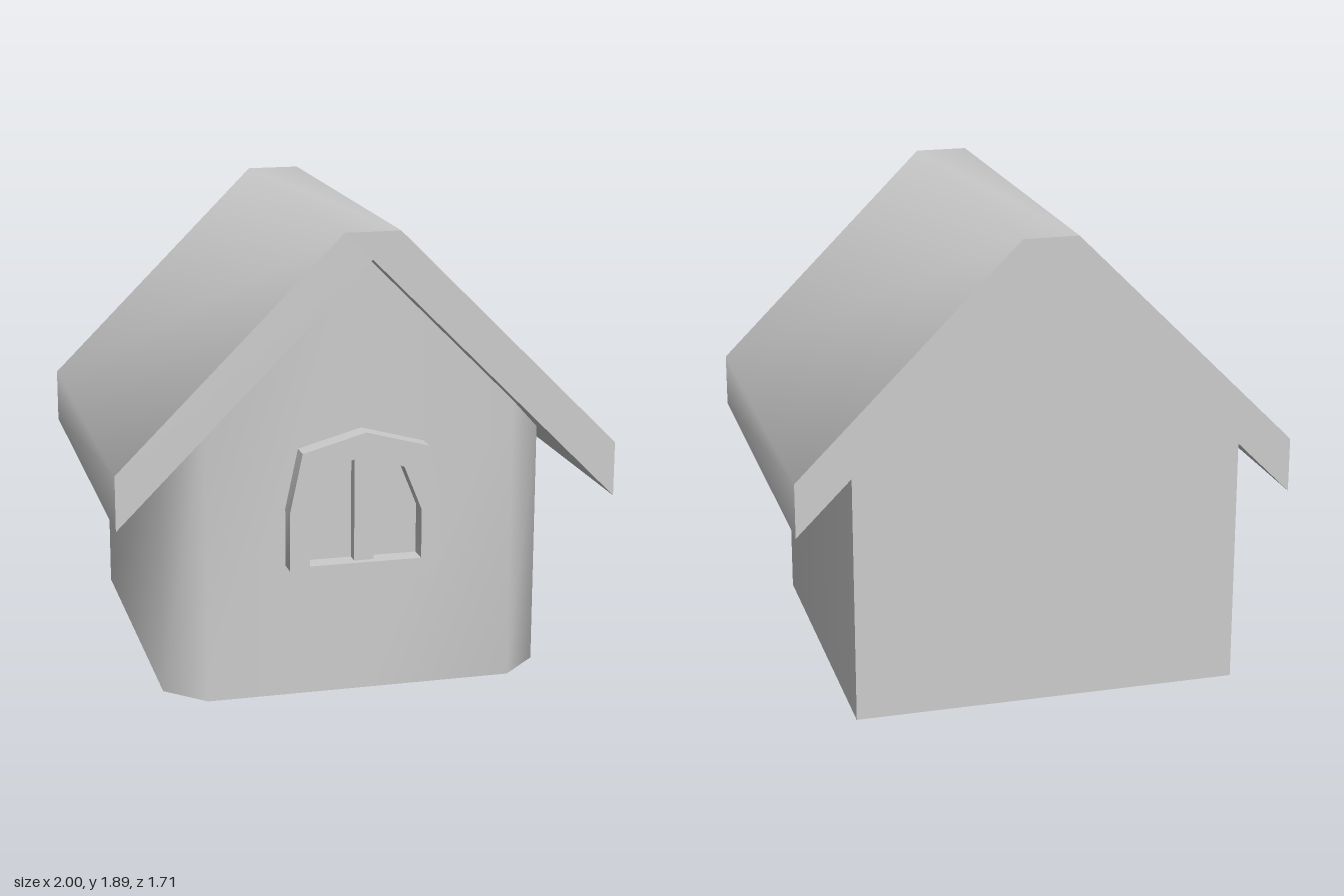
import * as THREE from 'three';
import { toCreasedNormals } from 'three/addons/utils/BufferGeometryUtils.js';

const CREASE = Math.PI / 3;
const plaster = new THREE.MeshStandardMaterial({ color: 0xcccccc });
plaster.name = 'plaster grey';

const vectors = (points) => points.map(([x, y]) => new THREE.Vector2(x, y));

// Completes a symmetric outline from its right half, listed bottom to top.
function mirrored(half) {
  const left = half.filter(([x]) => x > 0).map(([x, y]) => [-x, y]).reverse();
  return vectors([...half, ...left]);
}

function extrude(outline, z0, z1, hole) {
  const shape = new THREE.Shape(outline);
  if (hole) shape.holes.push(new THREE.Path(hole));
  const geometry = new THREE.ExtrudeGeometry(shape, { depth: z1 - z0, bevelEnabled: false });
  return toCreasedNormals(geometry.translate(0, 0, z0), CREASE);
}

// Walls follow the footprint and rise to meet the underside of the roof.
function wallGeometry(footprint) {
  const positions = [];
  const index = [];
  const n = footprint.length;
  footprint.forEach(([x, z], i) => {
    positions.push(x, 0, z, x, 1.785 - Math.abs(x), z);
    const a = i * 2;
    const b = ((i + 1) % n) * 2;
    index.push(a, b, b + 1, a, b + 1, a + 1);
  });
  const geometry = new THREE.BufferGeometry();
  geometry.setAttribute('position', new THREE.Float32BufferAttribute(positions, 3));
  geometry.setIndex(index);
  return toCreasedNormals(geometry, CREASE);
}

export function createModel() {
  const house = new THREE.Group();
  house.name = 'house';
  const add = (name, geometry) => {
    const mesh = new THREE.Mesh(geometry, plaster);
    mesh.name = name;
    house.add(mesh);
    return mesh;
  };

  // Body with cut front corners and a gable at each end
  const footprint = [
    [0, 0.7], [0.625, 0.7], [0.78, 0.55], [0.78, -0.857],
    [0, -0.857], [-0.78, -0.857], [-0.78, 0.55], [-0.625, 0.7],
  ];
  add('walls', wallGeometry(footprint));
  const floor = new THREE.ShapeGeometry(new THREE.Shape(vectors(footprint)));
  add('floor', floor.rotateX(Math.PI / 2));

  // Thick pitched roof with a flat ridge
  const roofOutline = mirrored([[0, 1.785], [1, 0.785], [1, 1.005], [0.11, 1.892]]);
  add('roof', extrude(roofOutline, -0.857, 0.857));

  // Raised window frame and its central bar
  const frameOuter = mirrored([[0.247, 0.48], [0.307, 0.545], [0.307, 0.78], [0.255, 1.02], [0, 1.09]]);
  const frameInner = mirrored([[0.227, 0.56], [0.227, 0.76], [0.155, 0.94], [0, 1.005]]);
  add('windowFrame', extrude(frameOuter, 0.7, 0.78, frameInner));
  const barOutline = mirrored([[0.04, 0.56], [0.04, 0.987], [0, 1.005]]);
  add('windowBar', extrude(barOutline, 0.7, 0.75));

  return house;
}
